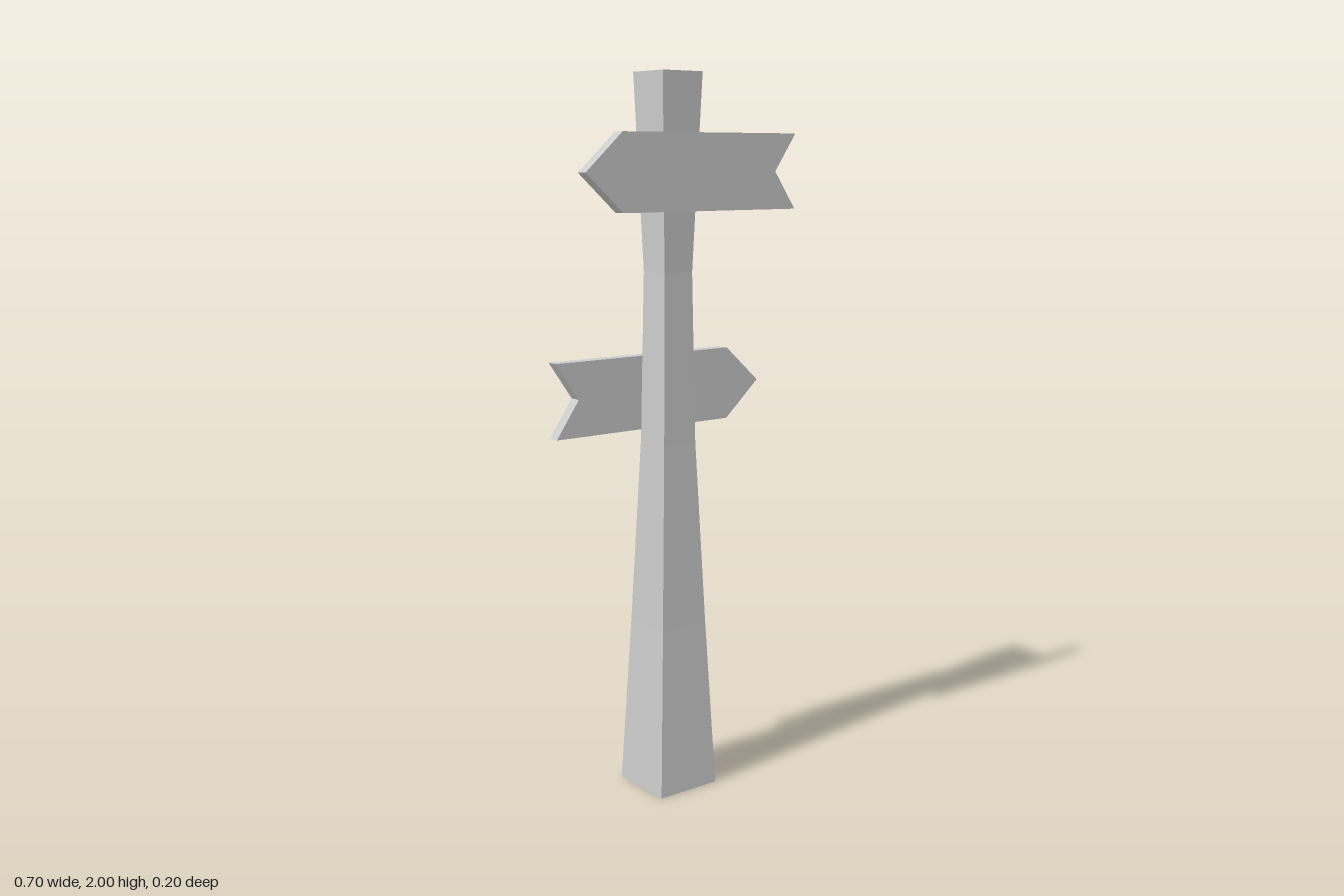
import * as THREE from 'three';

const material = new THREE.MeshStandardMaterial({ color: 0xcccccc, flatShading: true });

// Square post whose half-width follows [height, halfWidth] rings
function makePost() {
  const rings = [[0, 0.097], [0.48, 0.075], [1, 0.054], [1.47, 0.047], [2, 0.066]];
  const geometry = new THREE.BoxGeometry(2, 1, 2, 1, rings.length - 1, 1);
  const pos = geometry.attributes.position;
  for (let i = 0; i < pos.count; i++) {
    const [y, half] = rings[Math.round((pos.getY(i) + 0.5) * (rings.length - 1))];
    pos.setXYZ(i, pos.getX(i) * half, y, pos.getZ(i) * half);
  }
  geometry.computeVertexNormals();
  const post = new THREE.Mesh(geometry, material);
  post.name = 'post';
  post.position.set(-0.017, 0, -0.002);
  return post;
}

// Arrow board with a pointed end (+x) and a notched tail (-x)
function makeSign(name, y, z, turn) {
  const h = 0.103;
  const shape = new THREE.Shape([
    [-0.35, -h], [0.235, -h], [0.35, 0], [0.235, h], [-0.35, h], [-0.278, 0],
  ].map(([px, py]) => new THREE.Vector2(px, py)));
  const depth = 0.035;
  const geometry = new THREE.ExtrudeGeometry(shape, { depth, bevelEnabled: false });
  geometry.translate(0, 0, -depth / 2);
  const sign = new THREE.Mesh(geometry, material);
  sign.name = name;
  sign.position.set(0, y, z);
  sign.rotation.y = turn;
  return sign;
}

export function createModel() {
  const group = new THREE.Group();
  group.name = 'signpost';
  group.add(
    makePost(),
    makeSign('upperFrontSign', 1.738, 0.08, Math.PI - 0.005),
    makeSign('lowerBackSign', 1.135, -0.072, 0),
  );
  return group;
}
